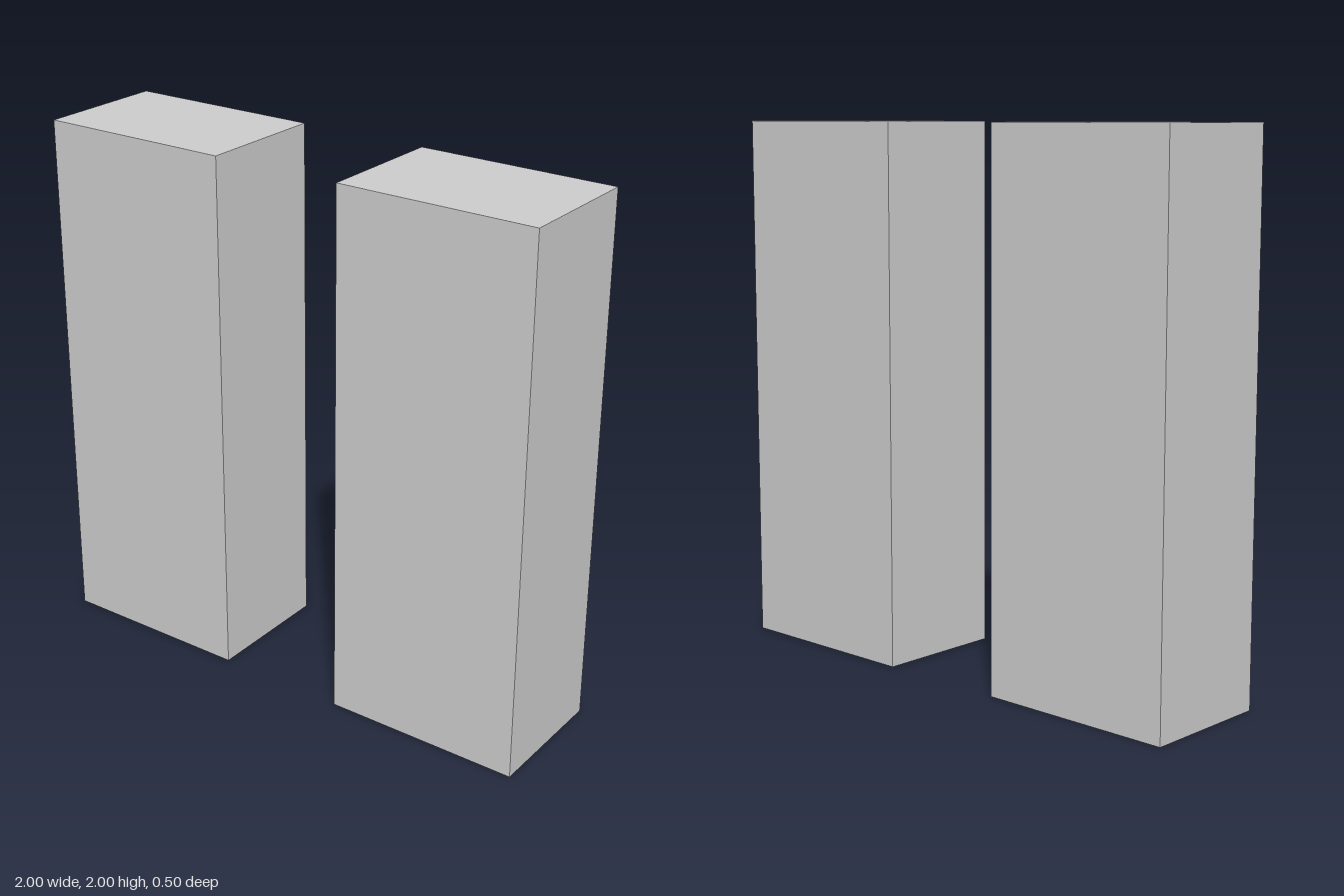
import * as THREE from 'three';

export function createModel() {
  const model = new THREE.Group();
  model.name = 'twinPillars';

  const material = new THREE.MeshStandardMaterial({ color: 0xcccccc, flatShading: true });
  const geometry = new THREE.BoxGeometry(0.75, 2, 0.5);

  // Two identical upright blocks, mirrored about x = 0
  for (const side of [1, -1]) {
    const pillar = new THREE.Mesh(geometry, material);
    pillar.name = side > 0 ? 'leftPillar' : 'rightPillar';
    pillar.position.set(side * 0.625, 1, 0);
    model.add(pillar);
  }
  return model;
}
